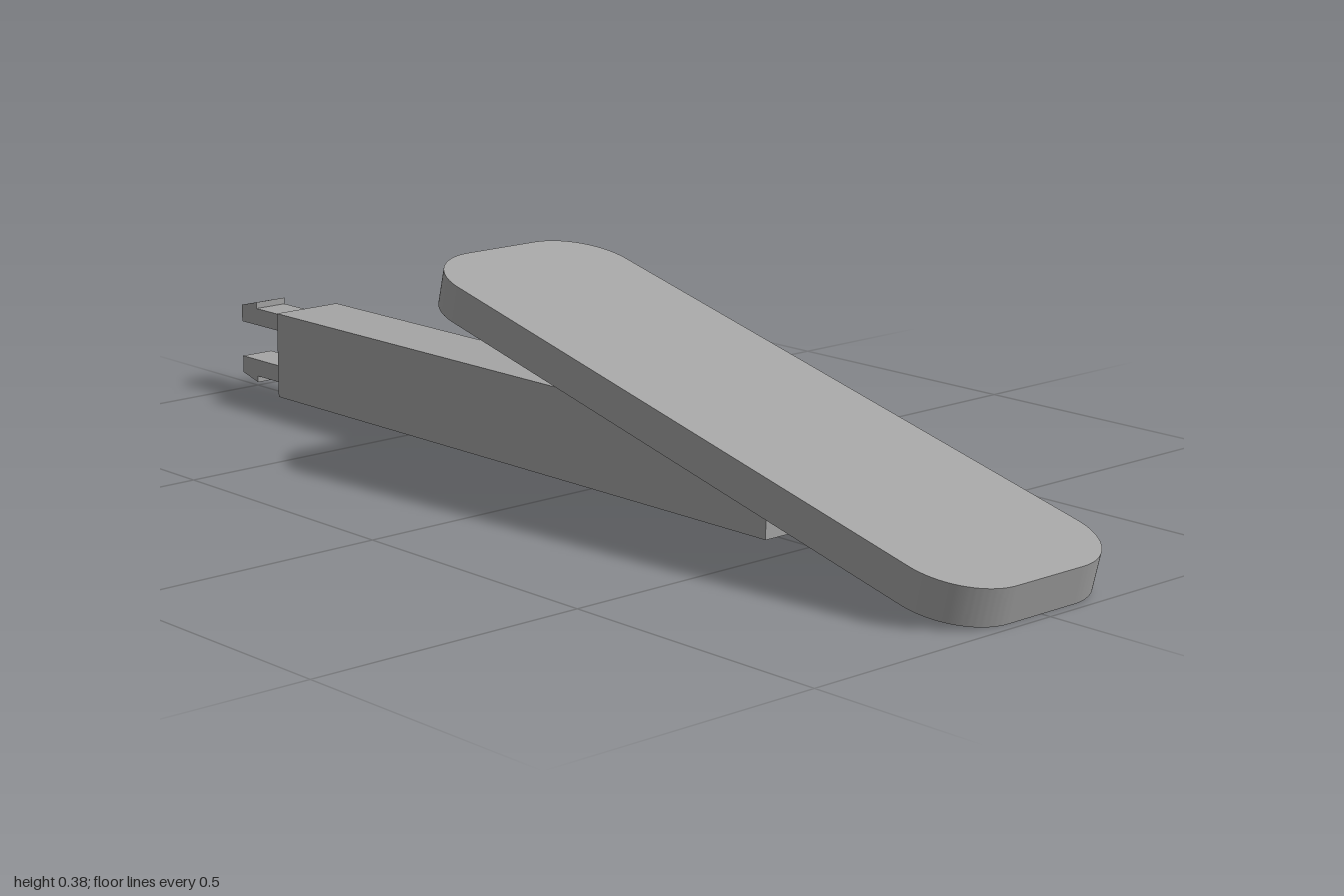
import * as THREE from 'three';
import { toCreasedNormals } from 'three/addons/utils/BufferGeometryUtils.js';

export function createModel() {
  const model = new THREE.Group();
  const grey = new THREE.MeshStandardMaterial({ color: 0xa5a5a5 });
  grey.name = 'grey';

  const add = (name, geometry, x, y, z) => {
    const mesh = new THREE.Mesh(geometry, grey);
    mesh.name = name;
    mesh.position.set(x, y, z);
    model.add(mesh);
    return mesh;
  };

  // Extrude a shape in the xy plane, centred on z = 0
  const extrude = (shape, depth) => {
    const geometry = new THREE.ExtrudeGeometry(shape, { depth, bevelEnabled: false, curveSegments: 16 });
    return geometry.translate(0, 0, -depth / 2);
  };

  // Straight square arm
  add('arm', new THREE.BoxGeometry(1.303, 0.16, 0.139), -0.186, 0.102, 0);

  // Tilted pedal plate with rounded corners
  const w = 0.651, h = 0.19, r = 0.115;
  const outline = new THREE.Shape();
  outline.absarc(w - r, h - r, r, 0, Math.PI / 2);
  outline.absarc(-w + r, h - r, r, Math.PI / 2, Math.PI);
  outline.absarc(-w + r, -h + r, r, Math.PI, Math.PI * 1.5);
  outline.absarc(w - r, -h + r, r, Math.PI * 1.5, Math.PI * 2);
  outline.closePath();
  const plate = extrude(outline, 0.065).rotateX(-Math.PI / 2);
  add('plate', toCreasedNormals(plate, 0.5), 0.3585, 0.1935, 0).rotation.z = -0.2437;

  // Snap-in fork: a thin web with two barbed prongs, mirrored up and down
  const half = [[-0.848, 0.034], [-1, 0.034], [-1, 0.066], [-0.953, 0.078], [-0.953, 0.066], [-0.83, 0.066]];
  const lower = half.map(([x, y]) => [x, -y]).reverse();
  const fork = new THREE.Shape([...half, ...lower].map(([x, y]) => new THREE.Vector2(x, y)));
  add('fork', extrude(fork, 0.066), 0, 0.102, 0);

  return model;
}
